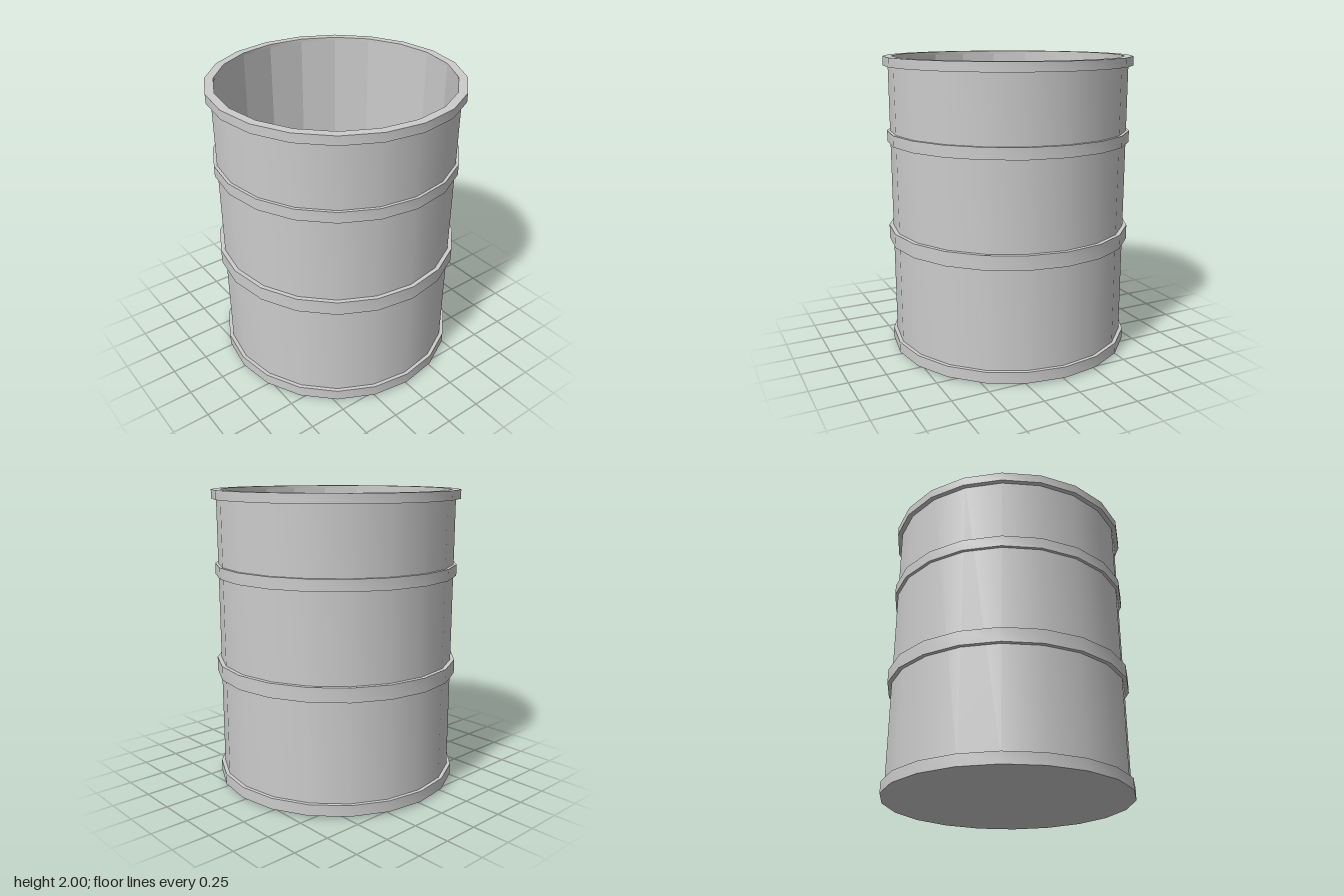
import * as THREE from 'three';
import { toCreasedNormals } from 'three/addons/utils/BufferGeometryUtils.js';

const SIDES = 20;
const WALL = 0.8;      // outer radius of the shell
const INNER = 0.775;   // inner radius of the shell

// Revolve a [radius, height] profile; it runs upward on outward-facing surfaces.
function revolve(name, profile, flat = false) {
  const points = profile.map(([r, y]) => new THREE.Vector2(r, y));
  const geometry = toCreasedNormals(new THREE.LatheGeometry(points, SIDES), 0.5);
  const material = new THREE.MeshStandardMaterial({ color: 0xcccccc, flatShading: flat });
  const mesh = new THREE.Mesh(geometry, material);
  mesh.name = name;
  return mesh;
}

// Square-section band around the shell
function hoop(name, r, y0, y1) {
  return revolve(name, [[WALL, y0], [r, y0], [r, y1], [WALL, y1]]);
}

export function createModel() {
  const drum = new THREE.Group();
  drum.name = 'drum';

  // Outer shell, faceted lining and the floor inside
  drum.add(revolve('outerWall', [[WALL, 0.05], [WALL, 1.97]]));
  drum.add(revolve('innerWall', [[INNER, 1.98], [INNER, 0.03]], true));
  drum.add(revolve('floor', [[INNER, 0.03], [0, 0.015]]));

  // Bottom rim with its slightly bulged underside
  drum.add(revolve('underside', [[0, 0], [0.825, 0.015]]));
  drum.add(revolve('bottomRim', [[0.825, 0.015], [0.825, 0.09], [WALL, 0.09]]));

  // Reinforcing hoops
  drum.add(hoop('lowerHoop', 0.828, 0.76, 0.855));
  drum.add(hoop('upperHoop', 0.82, 1.435, 1.51));

  // Top rim, closing the gap between both walls
  drum.add(revolve('topRim', [[WALL, 1.94], [0.832, 1.94], [0.832, 2], [INNER, 2], [INNER, 1.98]]));

  return drum;
}
